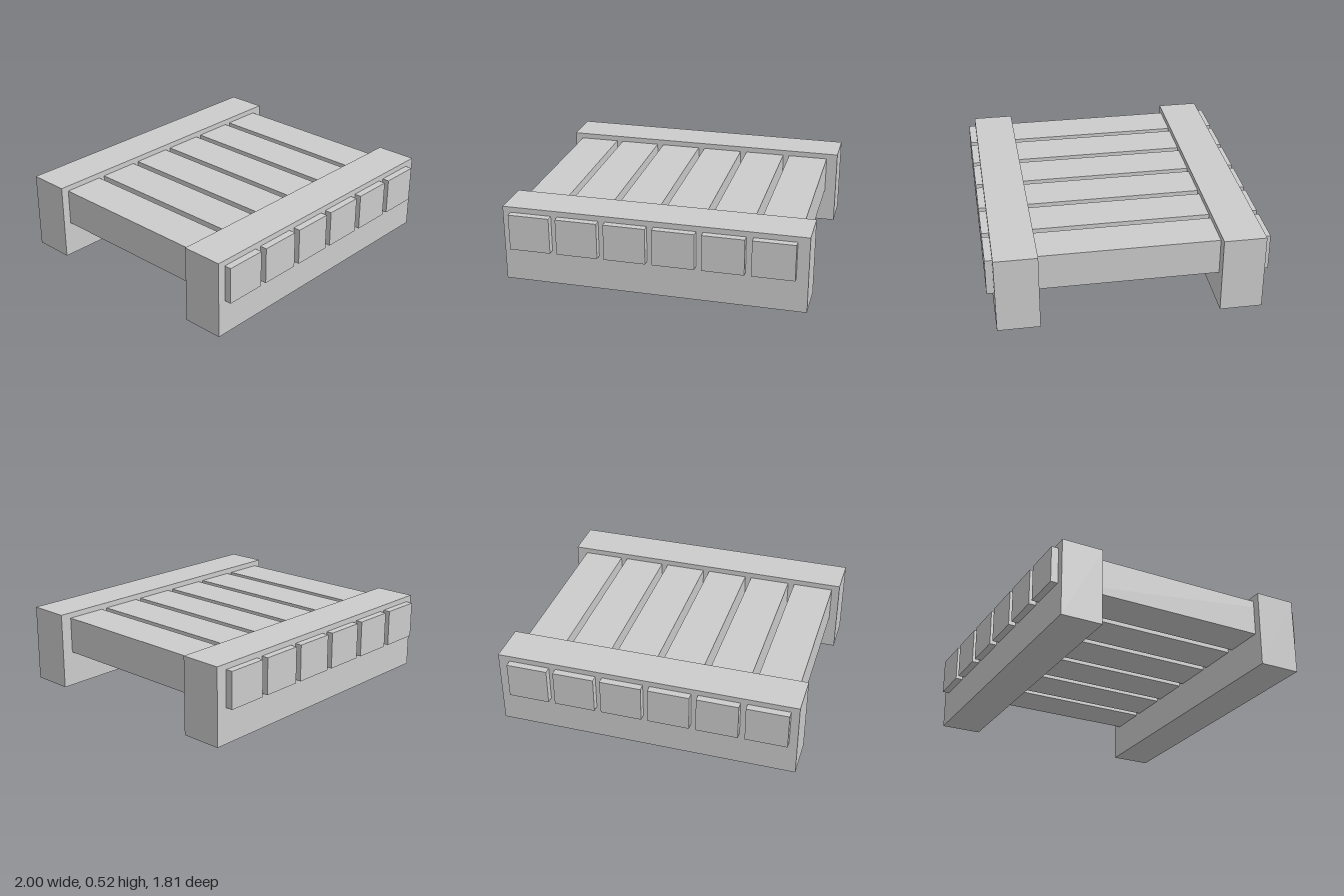
import * as THREE from 'three';

export function createModel() {
  const model = new THREE.Group();
  model.name = 'slattedPlatform';
  const material = new THREE.MeshStandardMaterial({ color: 0xcccccc, flatShading: true });

  const addBox = (name, width, height, depth, x, y, z) => {
    const mesh = new THREE.Mesh(new THREE.BoxGeometry(width, height, depth), material);
    mesh.name = name;
    mesh.position.set(x, y, z);
    model.add(mesh);
  };

  // Two long beams standing on the ground
  const beamHeight = 0.517;
  addBox('frontBeam', 2, beamHeight, 0.277, 0, beamHeight / 2, 0.721);
  addBox('backBeam', 2, beamHeight, 0.277, 0, beamHeight / 2, -0.721);

  // Six slats passing through both beams, set slightly toward the right
  const slatCount = 6, pitch = 0.319, firstX = -0.809;
  for (let i = 0; i < slatCount; i++) {
    addBox(`slat${i + 1}`, 0.275, 0.244, 1.814, firstX + i * pitch, 0.358, 0);
  }

  return model;
}
